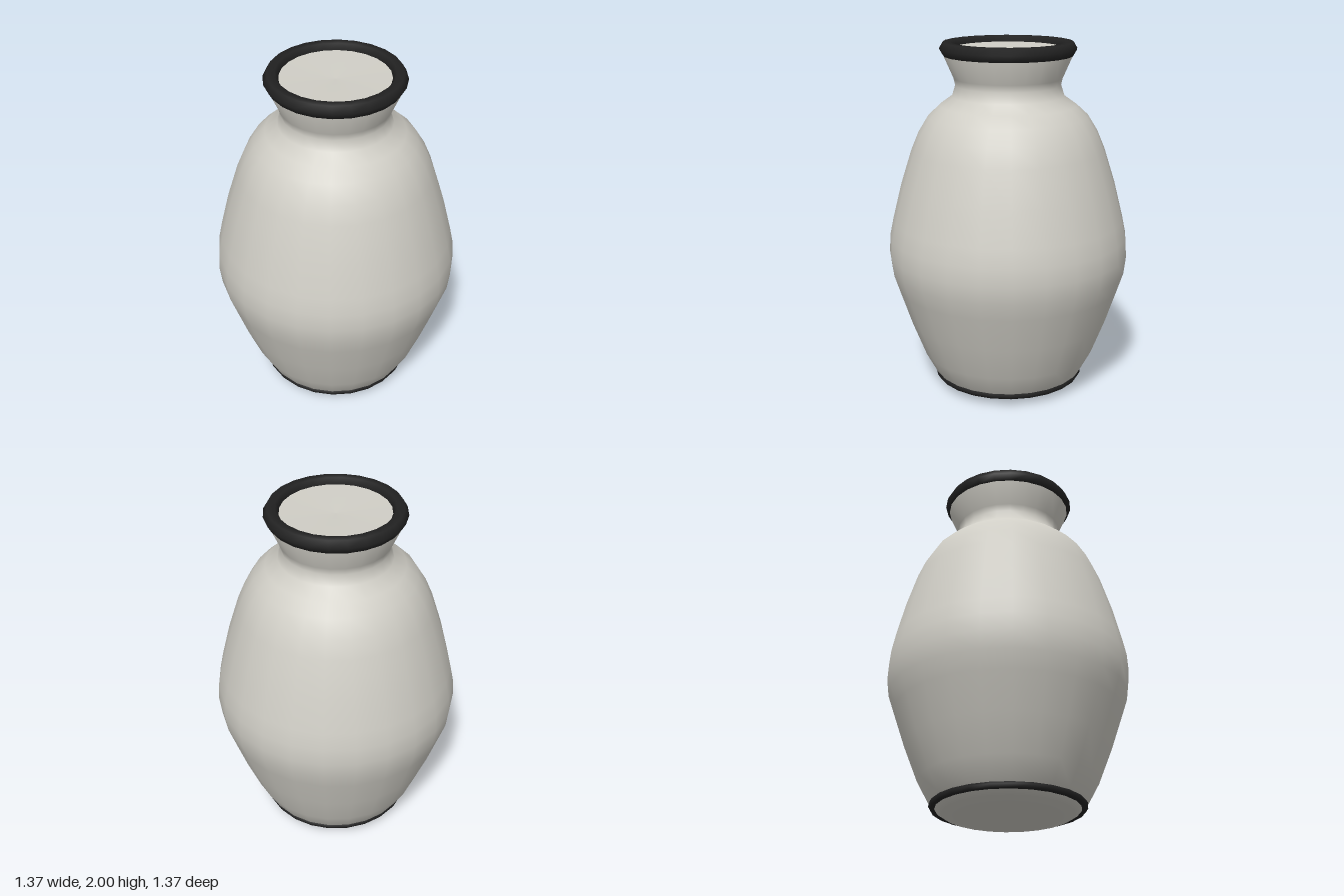
import * as THREE from 'three';

const SIDES = 24;

export function createModel() {
  const model = new THREE.Group();
  model.name = 'vase';

  const clay = new THREE.MeshStandardMaterial({ color: 0xd0cec6 });
  clay.name = 'pale grey clay';
  const black = new THREE.MeshStandardMaterial({ color: 0x222222 });
  black.name = 'black glaze';

  // Body: one turned profile, from the rounded base to the shallow dished top
  const profile = [
    [0, 0], [0.25, 0.003], [0.36, 0.022], [0.395, 0.045], [0.435, 0.085],
    [0.497, 0.2], [0.575, 0.4], [0.642, 0.6], [0.675, 0.7], [0.687, 0.8],
    [0.681, 0.9], [0.66, 1.0], [0.61, 1.2], [0.547, 1.4], [0.505, 1.5],
    [0.45, 1.59], [0.385, 1.65], [0.315, 1.7], [0.296, 1.76], [0.305, 1.8],
    [0.36, 1.925], [0.345, 1.965], [0.31, 1.968], [0, 1.955],
  ].map(([r, y]) => new THREE.Vector2(r, y));
  const body = new THREE.Mesh(new THREE.LatheGeometry(profile, SIDES), clay);
  body.name = 'body';
  model.add(body);

  // Black rings with a six-sided section
  const addRing = (name, radius, tube, y) => {
    const geometry = new THREE.TorusGeometry(radius, tube, 6, SIDES);
    geometry.rotateX(-Math.PI / 2);
    const ring = new THREE.Mesh(geometry, black);
    ring.name = name;
    ring.position.y = y;
    model.add(ring);
  };
  addRing('rim', 0.34, 0.043, 1.9628);
  addRing('footRing', 0.412, 0.021, 0.063);

  return model;
}
